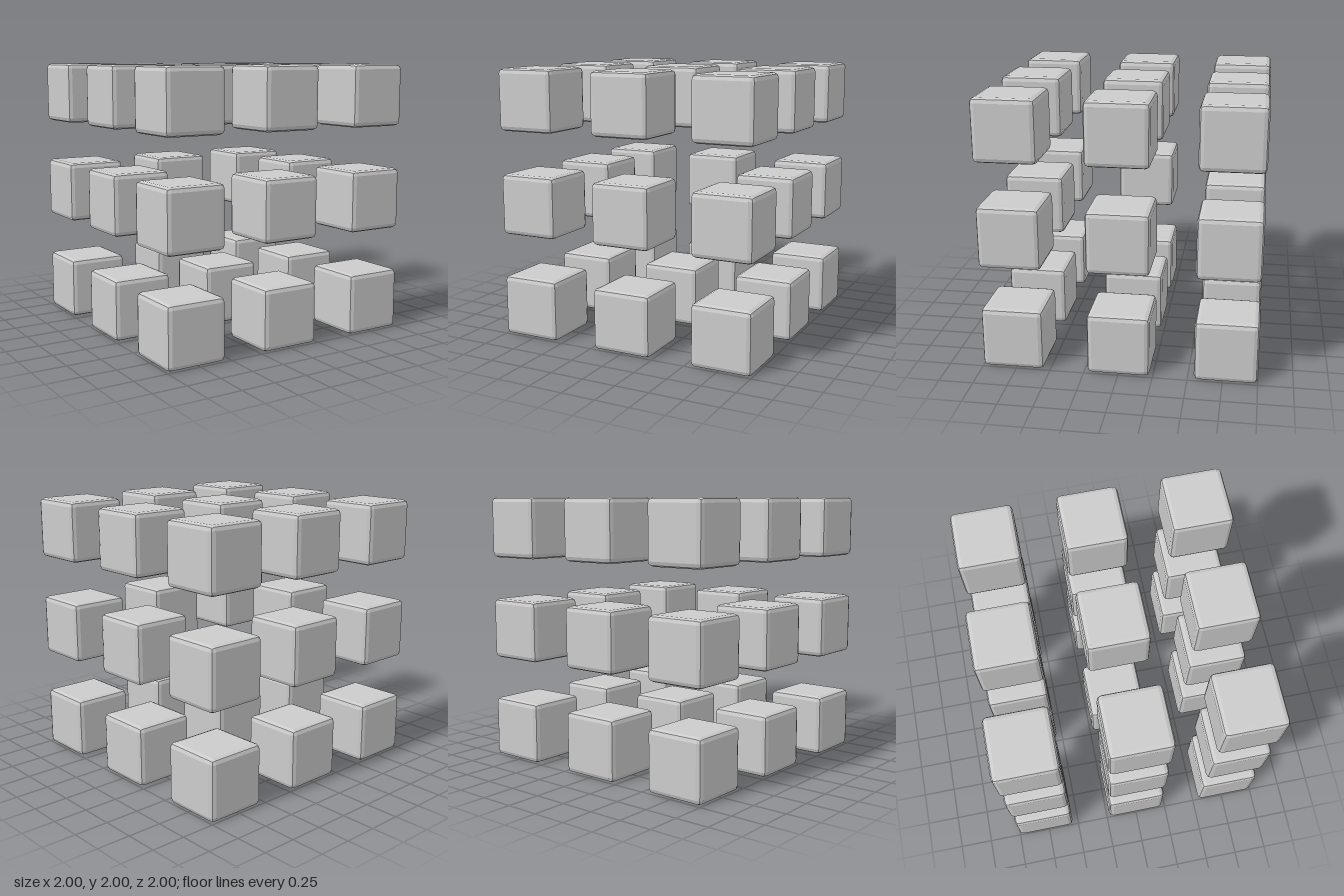
import * as THREE from 'three';
import { RoundedBoxGeometry } from 'three/addons/geometries/RoundedBoxGeometry.js';

const SIZE = 0.455;                // edge of one small cube
const STEP = 1 - SIZE / 2;         // spacing between cube centres
const BEVEL = 0.036;

export function createModel() {
  const model = new THREE.Group();
  model.name = 'cubeGrid';

  const geometry = new RoundedBoxGeometry(SIZE, SIZE, SIZE, 1, BEVEL);
  const material = new THREE.MeshStandardMaterial({ color: 0xcccccc, flatShading: true });

  const layers = ['bottom', 'middle', 'top'];
  const columns = ['Right', 'Centre', 'Left'];
  const rows = ['Back', 'Mid', 'Front'];

  // 3 x 3 x 3 lattice of bevelled cubes with an empty core
  for (let y = -1; y <= 1; y++) {
    const layer = new THREE.Group();
    layer.name = `${layers[y + 1]}Layer`;
    layer.position.y = 1 + y * STEP;
    for (let x = -1; x <= 1; x++) {
      for (let z = -1; z <= 1; z++) {
        if (x === 0 && y === 0 && z === 0) continue;
        const cube = new THREE.Mesh(geometry, material);
        cube.name = `${layers[y + 1]}${rows[z + 1]}${columns[x + 1]}Cube`;
        cube.position.set(x * STEP, 0, z * STEP);
        layer.add(cube);
      }
    }
    model.add(layer);
  }
  return model;
}
